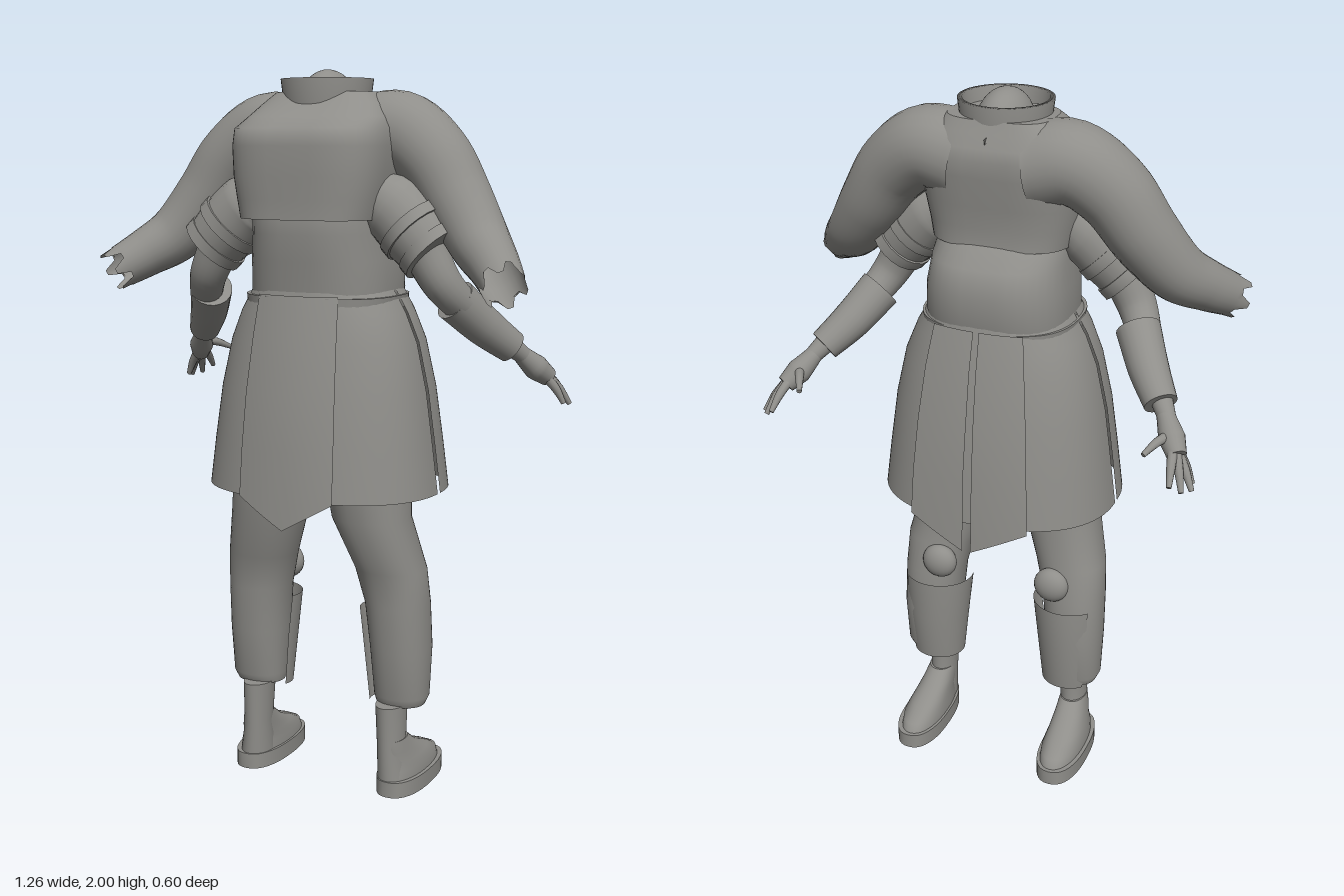
import * as THREE from 'three';

const cloth = new THREE.MeshStandardMaterial({ color: 0x8f8e8a, side: THREE.DoubleSide });
cloth.name = 'stone grey';

// Skins a list of point rings; closed rings wrap around, caps fill both ends
function skin(rings, closed = true, cap = true) {
  const n = rings[0].length, pos = [], idx = [];
  rings.forEach(r => r.forEach(p => pos.push(p.x, p.y, p.z)));
  for (let i = 0; i < rings.length - 1; i++) {
    for (let j = 0; j < (closed ? n : n - 1); j++) {
      const k = (j + 1) % n, a = i * n + j, b = i * n + k;
      idx.push(a, a + n, b, b, a + n, b + n);
    }
  }
  if (closed && cap) {
    [rings[0], rings[rings.length - 1]].forEach((r, end) => {
      const c = new THREE.Vector3();
      r.forEach(p => c.addScaledVector(p, 1 / n));
      const base = pos.length / 3;
      [c, ...r].forEach(p => pos.push(p.x, p.y, p.z));
      for (let j = 0; j < n; j++) {
        const a = base + 1 + j, b = base + 1 + (j + 1) % n;
        if (end) idx.push(base, b, a); else idx.push(base, a, b);
      }
    });
  }
  const g = new THREE.BufferGeometry();
  g.setAttribute('position', new THREE.Float32BufferAttribute(pos, 3));
  g.setIndex(idx);
  g.computeVertexNormals();
  return g;
}

// Horizontal superellipse sections [y, cx, cz, rx, rz], listed from the bottom up
function loft(sections, { power = 2, from = 0, to = Math.PI * 2, cap = true, seg = 40 } = {}) {
  const closed = to - from > 6.28;
  const bend = v => Math.sign(v) * Math.abs(v) ** (2 / power);
  const rings = sections.map(([y, cx, cz, rx, rz]) =>
    Array.from({ length: closed ? seg : seg + 1 }, (_, j) => {
      const a = from + (to - from) * j / seg;
      return new THREE.Vector3(cx + rx * bend(Math.cos(a)), y, cz + rz * bend(Math.sin(a)));
    }));
  return skin(rings, closed, cap);
}

// Round limb through [x, y, z, radius] points, with an optional torn end
function limb(points, { tear = 0, steps = 24, seg = 20, cap = true } = {}) {
  const curve = new THREE.CatmullRomCurve3(points.map(p => new THREE.Vector3(p[0], p[1], p[2])));
  const rings = [];
  for (let i = 0; i <= steps; i++) {
    const t = i / steps, f = t * (points.length - 1), k = Math.min(Math.floor(f), points.length - 2);
    const r = THREE.MathUtils.lerp(points[k][3], points[k + 1][3], f - k);
    const c = curve.getPoint(t), d = curve.getTangent(t);
    const u = new THREE.Vector3().crossVectors(d, new THREE.Vector3(0, 0, 1)).normalize();
    const v = new THREE.Vector3().crossVectors(u, d);
    rings.push(Array.from({ length: seg }, (_, j) => {
      const a = j / seg * Math.PI * 2;
      const p = c.clone().addScaledVector(u, r * Math.cos(a)).addScaledVector(v, r * Math.sin(a));
      if (i === steps && tear) p.addScaledVector(d, tear * (j % 4 < 2 ? 1 : -1));
      return p;
    }));
  }
  return skin(rings, true, cap && !tear);
}

// Hanging cloth strip: rows of [y, left x, right x, z], pointed towards tipX at the bottom
function flap(rows, tipX, bow) {
  const n = 12;
  return skin(rows.map(([y, x0, x1, z], i) => Array.from({ length: n + 1 }, (_, j) => {
    const x = x0 + (x1 - x0) * j / n, reach = Math.max(Math.abs(x0 - tipX), Math.abs(x1 - tipX));
    const off = Math.abs(x - tipX) / reach;
    return new THREE.Vector3(x, y - (i === 0 ? 0.08 * (1 - off) : 0), z - bow * off * off);
  })), false);
}

export function createModel() {
  const model = new THREE.Group();
  model.name = 'fourArmedFigure';
  const add = (parent, name, geometry) => {
    const m = new THREE.Mesh(geometry, cloth);
    m.name = name;
    parent.add(m);
    return m;
  };

  // Torso
  add(model, 'waist', loft([
    [1.36, 0, 0.015, 0.195, 0.18], [1.42, 0, 0.01, 0.2, 0.19], [1.5, 0, 0.012, 0.195, 0.2],
    [1.57, 0, 0.025, 0.185, 0.195], [1.62, 0, 0.055, 0.18, 0.165], [1.66, 0, 0.06, 0.17, 0.15]], { power: 2.6 }));
  add(model, 'chest', loft([
    [1.61, 0, 0.067, 0.195, 0.18], [1.66, 0, 0.068, 0.205, 0.178], [1.72, 0, 0.065, 0.215, 0.185],
    [1.8, 0, 0.06, 0.22, 0.19], [1.845, 0, 0.055, 0.215, 0.19], [1.875, 0, 0.03, 0.2, 0.155],
    [1.91, 0, 0.012, 0.175, 0.12], [1.94, 0, 0.005, 0.14, 0.1]], { power: 3.2, seg: 48 }));
  add(model, 'belt', loft([[1.37, 0, 0.015, 0.212, 0.19], [1.405, 0, 0.015, 0.215, 0.193]], { power: 2.6 }));

  // Neck stump inside a standing collar
  const collar = add(model, 'collar', new THREE.LatheGeometry(
    [[0.112, 0], [0.125, 0.105], [0.112, 0.105], [0.1, 0]].map(p => new THREE.Vector2(...p)), 40));
  collar.position.set(0, 1.87, 0.02);
  const neck = add(model, 'neckStump', new THREE.SphereGeometry(1, 32, 20));
  neck.scale.set(0.075, 0.1, 0.105);
  neck.position.set(0, 1.9, 0.015);

  // Torn points behind the collar
  for (let i = 0; i < 5; i++) {
    const a = (i - 2) * 0.5;
    const spike = add(model, 'tornCollarPoint', new THREE.ConeGeometry(0.03, 0.07, 4));
    spike.position.set(Math.sin(a) * 0.13, 1.91, 0.01 - Math.cos(a) * 0.11);
    spike.rotation.set(-2.3, -a, 0, 'YXZ');
    spike.scale.z = 0.3;
  }

  // Skirt in a front and a back half, split at the sides
  const skirt = [
    [0.87, 0, 0.01, 0.335, 0.265], [1.0, 0, 0.01, 0.318, 0.255], [1.15, 0, 0.01, 0.297, 0.238],
    [1.28, 0, 0.01, 0.268, 0.217], [1.36, 0, 0.012, 0.235, 0.202], [1.42, 0, 0.012, 0.2, 0.19]];
  add(model, 'skirtFront', loft(skirt, { power: 2.4, from: 0.015, to: Math.PI - 0.015 }));
  add(model, 'skirtBack', loft(skirt, { power: 2.4, from: Math.PI + 0.015, to: Math.PI * 2 - 0.015 }));
  add(model, 'frontFlap', flap([
    [0.87, -0.14, 0.14, 0.292], [1.0, -0.138, 0.138, 0.28], [1.15, -0.133, 0.133, 0.262],
    [1.3, -0.125, 0.125, 0.235], [1.41, -0.118, 0.118, 0.21]], 0, 0.02));

  for (const side of [1, -1]) {
    const half = new THREE.Group();
    half.name = side > 0 ? 'leftSide' : 'rightSide';
    half.scale.x = side;
    model.add(half);

    add(half, 'backFlap', flap([
      [0.87, 0.012, 0.17, -0.272], [1.0, 0.012, 0.165, -0.262], [1.15, 0.01, 0.155, -0.243],
      [1.3, 0.009, 0.14, -0.218], [1.41, 0.008, 0.125, -0.19]], 0.012, -0.015));

    // Upper arm pair, ending in a torn sleeve
    add(half, 'upperArm', limb([
      [0.1, 1.82, -0.02, 0.115], [0.2, 1.835, -0.02, 0.108], [0.3, 1.77, -0.005, 0.1],
      [0.38, 1.66, 0.015, 0.092], [0.46, 1.555, 0.06, 0.08], [0.52, 1.505, 0.12, 0.068],
      [0.575, 1.46, 0.19, 0.058]], { tear: 0.02, steps: 36, seg: 24 }));

    // Lower arm pair: padded sleeve with bands, bracer and hand
    add(half, 'lowerSleeve', limb([
      [0.15, 1.67, 0.06, 0.07], [0.22, 1.635, 0.06, 0.092], [0.28, 1.58, 0.065, 0.093], [0.335, 1.525, 0.07, 0.085]]));
    [[0.265, 1.595, 0.098], [0.315, 1.545, 0.093]].forEach(([x, y, r]) => add(half, 'sleeveBand',
      limb([[x, y, 0.066, r], [x + 0.022, y - 0.022, 0.068, r]], { steps: 2 })));
    add(half, 'lowerForearm', limb([
      [0.31, 1.53, 0.07, 0.06], [0.36, 1.44, 0.055, 0.052], [0.42, 1.35, -0.03, 0.042], [0.51, 1.24, -0.15, 0.024]]));
    add(half, 'bracer', limb([[0.375, 1.4, 0.015, 0.06], [0.43, 1.325, -0.06, 0.054], [0.485, 1.265, -0.125, 0.045]]));
    add(half, 'palm', limb([
      [0.505, 1.245, -0.145, 0.024], [0.535, 1.205, -0.185, 0.035], [0.56, 1.175, -0.22, 0.026]], { steps: 10 }));
    [[0.53, 1.215, -0.19, 0.487, 1.19, -0.275], [0.55, 1.185, -0.225, 0.565, 1.125, -0.3],
      [0.56, 1.178, -0.222, 0.592, 1.105, -0.28], [0.566, 1.172, -0.215, 0.612, 1.1, -0.252],
      [0.566, 1.17, -0.205, 0.605, 1.105, -0.222]].forEach(([a, b, c, d, e, f]) => add(half, 'finger',
      limb([[a, b, c, 0.014], [(a + d) / 2, (b + e) / 2 + 0.006, (c + f) / 2, 0.012], [d, e, f, 0.007]],
        { steps: 8, seg: 10 })));

    // Leg, knee pad and shin guard
    add(half, 'trouserLeg', loft([
      [0.255, 0.225, 0.005, 0.07, 0.058], [0.28, 0.228, 0.005, 0.078, 0.07], [0.42, 0.225, 0.005, 0.085, 0.09],
      [0.55, 0.218, 0.015, 0.09, 0.09], [0.65, 0.202, 0.027, 0.1, 0.09], [0.8, 0.158, 0.062, 0.108, 0.108],
      [0.95, 0.14, 0.055, 0.12, 0.12]], { power: 2.2 }));
    const knee = add(half, 'kneePad', new THREE.SphereGeometry(1, 24, 16));
    knee.scale.set(0.052, 0.052, 0.035);
    knee.position.set(0.175, 0.6, -0.065);
    add(half, 'shinGuard', loft([
      [0.25, 0.21, 0, 0.078, 0.072], [0.4, 0.21, 0, 0.093, 0.092], [0.525, 0.205, 0, 0.103, 0.095]],
      { from: 2.8, to: 5.6 }));

    // Ankle and shoe, toes towards the back
    add(half, 'ankle', loft([
      [0.04, 0.222, 0.035, 0.046, 0.062], [0.14, 0.215, 0.045, 0.038, 0.052], [0.26, 0.213, 0.042, 0.042, 0.06]]));
    add(half, 'shoe', loft([
      [0.04, 0.226, -0.055, 0.06, 0.148], [0.07, 0.226, -0.05, 0.058, 0.138], [0.095, 0.224, -0.025, 0.05, 0.11],
      [0.125, 0.22, 0.015, 0.044, 0.078], [0.16, 0.217, 0.04, 0.038, 0.054]], { power: 2.2 }));
    add(half, 'sole', loft([[0, 0.228, -0.055, 0.068, 0.157], [0.045, 0.228, -0.055, 0.068, 0.157]], { power: 2.4 }));
  }
  return model;
}
